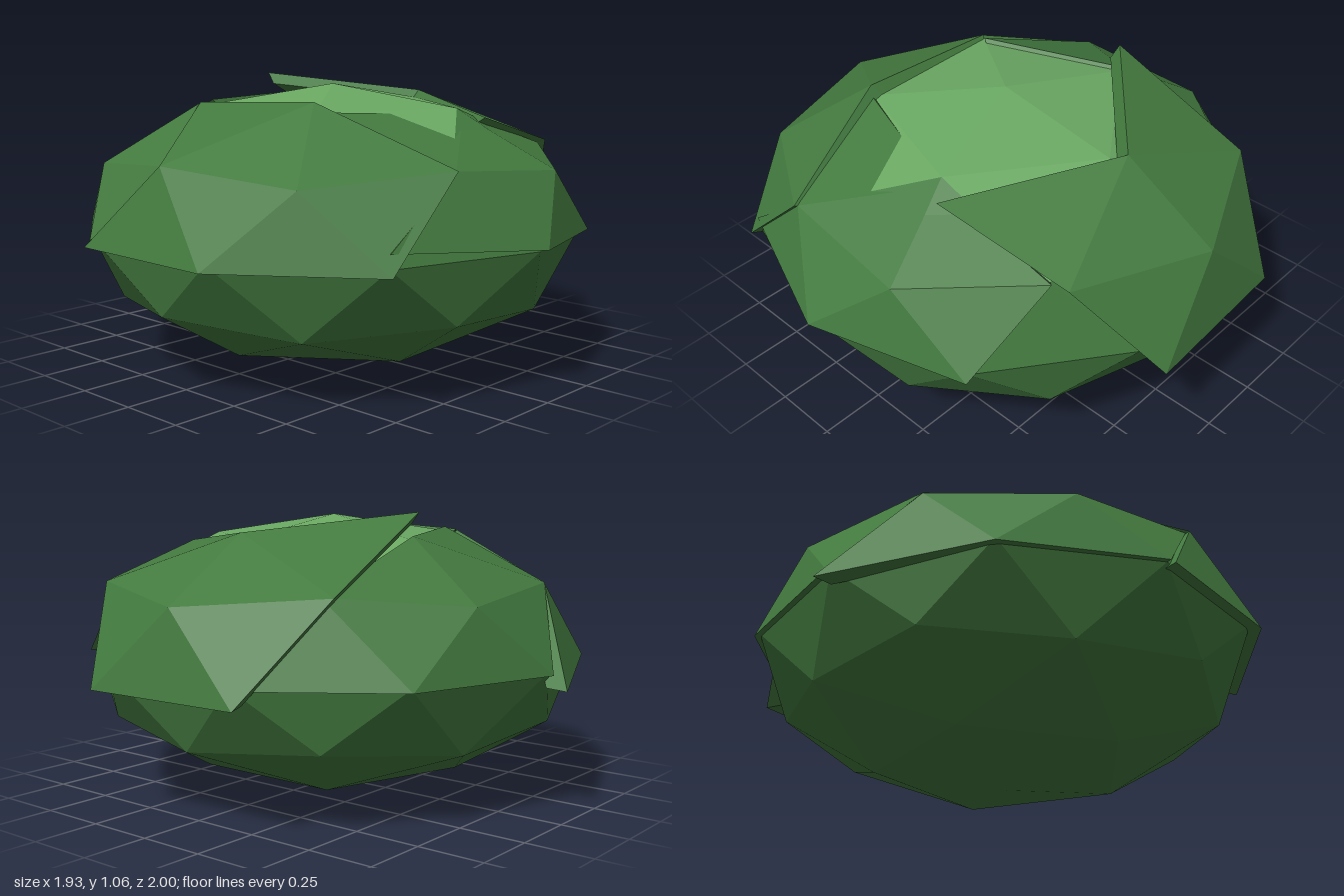
import * as THREE from 'three';

const CENTRE = new THREE.Vector3(-0.02, 0.52, 0.02);
const RAD = Math.PI / 180;

// Rings of a faceted ball: [height, radius] on a unit sphere
const RINGS = {
  P: [1, 0], M: [0.851, 0.526], U: [0.526, 0.851], V: [0.447, 0.894], E: [0, 1],
  L: [-0.447, 0.894], W: [-0.526, 0.851], N: [-0.851, 0.526], B: [-1, 0],
};

// Point of a ring at an angle (from +x towards +z), relative to the centre
function ringPoint([ring, deg], radius, height) {
  const [y, r] = RINGS[ring];
  return new THREE.Vector3(
    r * radius * Math.cos(deg * RAD), y * height, r * radius * Math.sin(deg * RAD));
}

// Order three corners so that the face looks away from the centre
function outward(a, b, c) {
  const n = b.p.clone().sub(a.p).cross(c.p.clone().sub(a.p));
  return n.dot(a.p) < 0 ? [a, c, b] : [a, b, c];
}

function buildMesh(name, points, color) {
  const geometry = new THREE.BufferGeometry().setFromPoints(
    points.map((p) => p.clone().add(CENTRE)));
  geometry.computeVertexNormals();
  const mesh = new THREE.Mesh(geometry,
    new THREE.MeshStandardMaterial({ color, flatShading: true }));
  mesh.name = name;
  return mesh;
}

// Plain faceted part of the ball
function shell(name, faces, color) {
  const points = [];
  for (const face of faces) {
    const corners = face.map((key) => ({ p: ringPoint(key, 0.945, 0.52) }));
    points.push(...outward(...corners).map((v) => v.p));
  }
  return buildMesh(name, points, color);
}

// Thick leaf: outer skin, inner skin, and walls along the open edges
function leaf({ name, at, radius, height, turn = 0, extra, adjust = {} }, color) {
  const fan = [['M', 0], ['U', 36], ['E', 18], ['E', -18], ['U', -36]];
  const faces = fan.map((k, i) => [['V', 0], k, fan[(i + 1) % 5]]).concat(extra);
  const corner = ([ring, deg]) => {
    const id = ring + deg;
    const [lift, push] = adjust[id] ?? adjust[ring] ?? [0, 1];
    const p = ringPoint([ring, deg + at + turn], radius * push, height);
    p.y += lift;
    return { id, p, q: p.clone().multiplyScalar(0.92) };
  };
  const points = [];
  const edges = new Map();
  for (const face of faces) {
    const [a, b, c] = outward(...face.map(corner));
    points.push(a.p, b.p, c.p, a.q, c.q, b.q);
    for (const [s, e] of [[a, b], [b, c], [c, a]]) {
      if (!edges.delete(e.id + s.id)) edges.set(s.id + e.id, [s, e]);
    }
  }
  for (const [s, e] of edges.values()) points.push(e.p, s.p, s.q, e.p, s.q, e.q);
  return buildMesh(name, points, color);
}

export function createModel() {
  const group = new THREE.Group();
  group.name = 'leafyHead';
  const leafGreen = 0x437a3f;
  const heartGreen = 0x6aa862;

  // Pale heart on top, darker body below
  const heart = [];
  const body = [];
  for (let i = 0; i < 5; i++) {
    const a = i * 72;
    const l = a + 36;
    heart.push([['P', 0], ['M', a], ['M', a + 72]], [['M', a], ['M', a + 72], ['U', l]]);
    for (const s of [-1, 1]) {
      body.push(
        [['M', a], ['V', a], ['U', a + 36 * s]],
        [['V', a], ['U', a + 36 * s], ['E', a + 18 * s]],
        [['N', l], ['L', l], ['W', l + 36 * s]],
        [['L', l], ['W', l + 36 * s], ['E', l + 18 * s]]);
    }
    body.push(
      [['V', a], ['E', a - 18], ['E', a + 18]],
      [['U', l], ['E', l - 18], ['E', l + 18]],
      [['L', l], ['E', l - 18], ['E', l + 18]],
      [['W', a], ['E', a - 18], ['E', a + 18]],
      [['N', l], ['N', l + 72], ['W', l + 36]],
      [['B', 0], ['N', l], ['N', l + 72]]);
  }
  group.add(shell('heart', heart, heartGreen), shell('body', body, leafGreen));

  // Flaps that reach past the leaf's own fan
  const topNext = [['M', 0], ['M', 72], ['U', 36]];
  const topBack = [['M', 0], ['M', -72], ['U', -36]];
  const lowNext = [['U', 36], ['E', 18], ['E', 54]];

  // Five wrapped outer leaves
  const leaves = [
    { name: 'leftLeaf', at: 0, turn: -3, radius: 1.03, height: 0.54, extra: [topNext, topBack],
      adjust: { E: [-0.06, 1], M0: [0.01, 1.02], M72: [-0.05, 1.1], 'M-72': [0.08, 0.94] } },
    { name: 'frontLeaf', at: 72, radius: 0.97, height: 0.53, extra: [topNext, lowNext],
      adjust: { E54: [0.05, 0.98], E18: [0.01, 1.01], 'E-18': [-0.02, 1], M0: [-0.03, 1.02] } },
    { name: 'rightLeaf', at: 144, radius: 0.985, height: 0.535, extra: [topNext, lowNext],
      adjust: { E: [-0.02, 1], M0: [0.03, 0.97], M72: [0, 0.97] } },
    { name: 'backRightLeaf', at: 216, radius: 0.965, height: 0.53, extra: [lowNext],
      adjust: { E54: [-0.06, 1.055], E18: [-0.02, 1] } },
    { name: 'backLeaf', at: 288, radius: 0.965, height: 0.535, extra: [topBack, lowNext],
      adjust: { 'M-72': [0.01, 0.9], E: [-0.01, 1] } },
  ];
  for (const spec of leaves) group.add(leaf(spec, leafGreen));
  return group;
}
